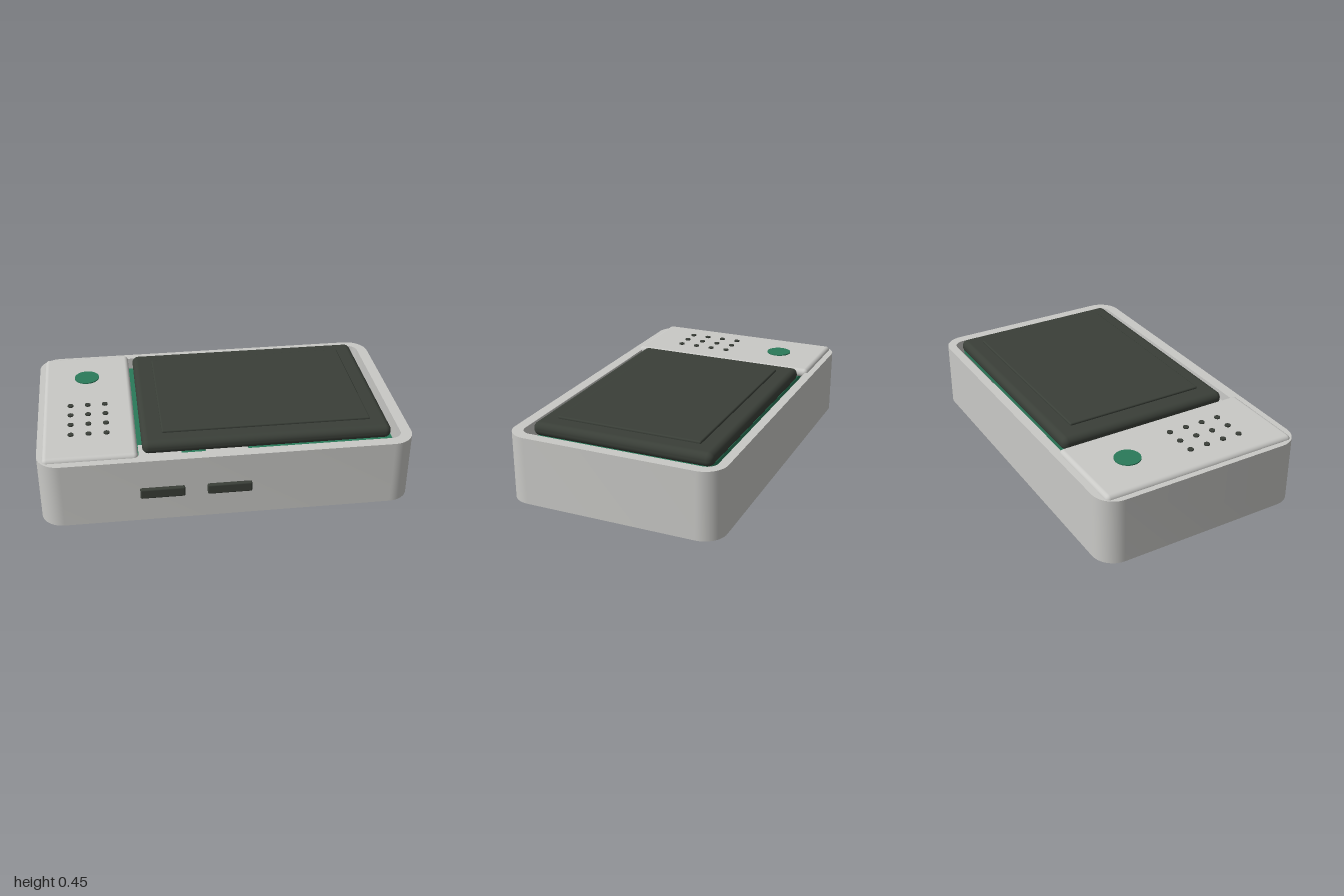
import * as THREE from 'three';
import { toCreasedNormals } from 'three/addons/utils/BufferGeometryUtils.js';
import { RoundedBoxGeometry } from 'three/addons/geometries/RoundedBoxGeometry.js';

const material = (name, color) => {
  const m = new THREE.MeshStandardMaterial({ color });
  m.name = name;
  return m;
};

// Traces a rounded rectangle between two corners on a Shape or Path
function roundedRect(path, x0, y0, x1, y1, r) {
  path.moveTo(x0 + r, y0);
  path.lineTo(x1 - r, y0);
  path.absarc(x1 - r, y0 + r, r, -Math.PI / 2, 0);
  path.lineTo(x1, y1 - r);
  path.absarc(x1 - r, y1 - r, r, 0, Math.PI / 2);
  path.lineTo(x0 + r, y1);
  path.absarc(x0 + r, y1 - r, r, Math.PI / 2, Math.PI);
  path.lineTo(x0, y0 + r);
  path.absarc(x0 + r, y0 + r, r, Math.PI, Math.PI * 1.5);
  return path;
}

export function createModel() {
  const model = new THREE.Group();
  const grey = material('light grey plastic', 0xc9c9c6);
  const dark = material('dark plastic', 0x3a3f38);
  const green = material('green', 0x2a7a5a);

  const add = (name, geometry, mat) => {
    const mesh = new THREE.Mesh(geometry, mat);
    mesh.name = name;
    model.add(mesh);
    return mesh;
  };

  // Box given by its limits on each axis, with optional rounded edges
  const box = (name, mat, [x0, x1], [y0, y1], [z0, z1], r = 0) => {
    const size = [x1 - x0, y1 - y0, z1 - z0];
    const geometry = r ? new RoundedBoxGeometry(...size, 4, r) : new THREE.BoxGeometry(...size);
    add(name, geometry, mat).position.set((x0 + x1) / 2, (y0 + y1) / 2, (z0 + z1) / 2);
  };

  const disc = (name, mat, x, z, r, y0, y1, sides) =>
    add(name, new THREE.CylinderGeometry(r, r, y1 - y0, sides), mat).position.set(x, (y0 + y1) / 2, z);

  // Open wall of the case; shape y becomes -z
  const outline = roundedRect(new THREE.Shape(), -1, -0.58, 1, 0.6, 0.12);
  outline.holes.push(roundedRect(new THREE.Path(), -0.94, -0.52, 0.94, 0.55, 0.06));
  const wall = new THREE.ExtrudeGeometry(outline, { depth: 0.37, bevelEnabled: false, curveSegments: 8 });
  wall.rotateX(-Math.PI / 2).translate(0, 0.025, 0);
  add('caseWall', toCreasedNormals(wall, 0.5), grey);

  // Base plate and inside circuit board
  box('basePlate', grey, [-0.95, 0.95], [0, 0.05], [-0.555, 0.54], 0.024);
  box('circuitBoard', green, [-0.9, 0.9], [0.33, 0.355], [-0.5, 0.46]);

  // Raised control panel
  box('controlPanel', grey, [-0.97, -0.475], [0.365, 0.415], [-0.565, 0.54], 0.024);
  disc('button', green, -0.725, -0.305, 0.07, 0.4, 0.421, 32);
  for (const x of [-0.82, -0.725, -0.63]) {
    for (const z of [0.01, 0.11, 0.21, 0.31]) disc('speakerHole', dark, x, z, 0.016, 0.4, 0.422, 12);
  }

  // Screen housing and its display
  box('screenHousing', dark, [-0.45, 0.89], [0.36, 0.435], [-0.52, 0.475], 0.034);
  box('display', dark, [-0.34, 0.79], [0.42, 0.447], [-0.42, 0.38], 0.008);

  // Two ports: connector inside, dark cover on the front wall
  for (const x of [-0.357, -0.002]) {
    box('connector', grey, [x - 0.113, x + 0.113], [0.15, 0.362], [0.37, 0.5]);
    box('portCover', dark, [x - 0.118, x + 0.118], [0.173, 0.23], [0.57, 0.6], 0.008);
  }

  return model;
}
